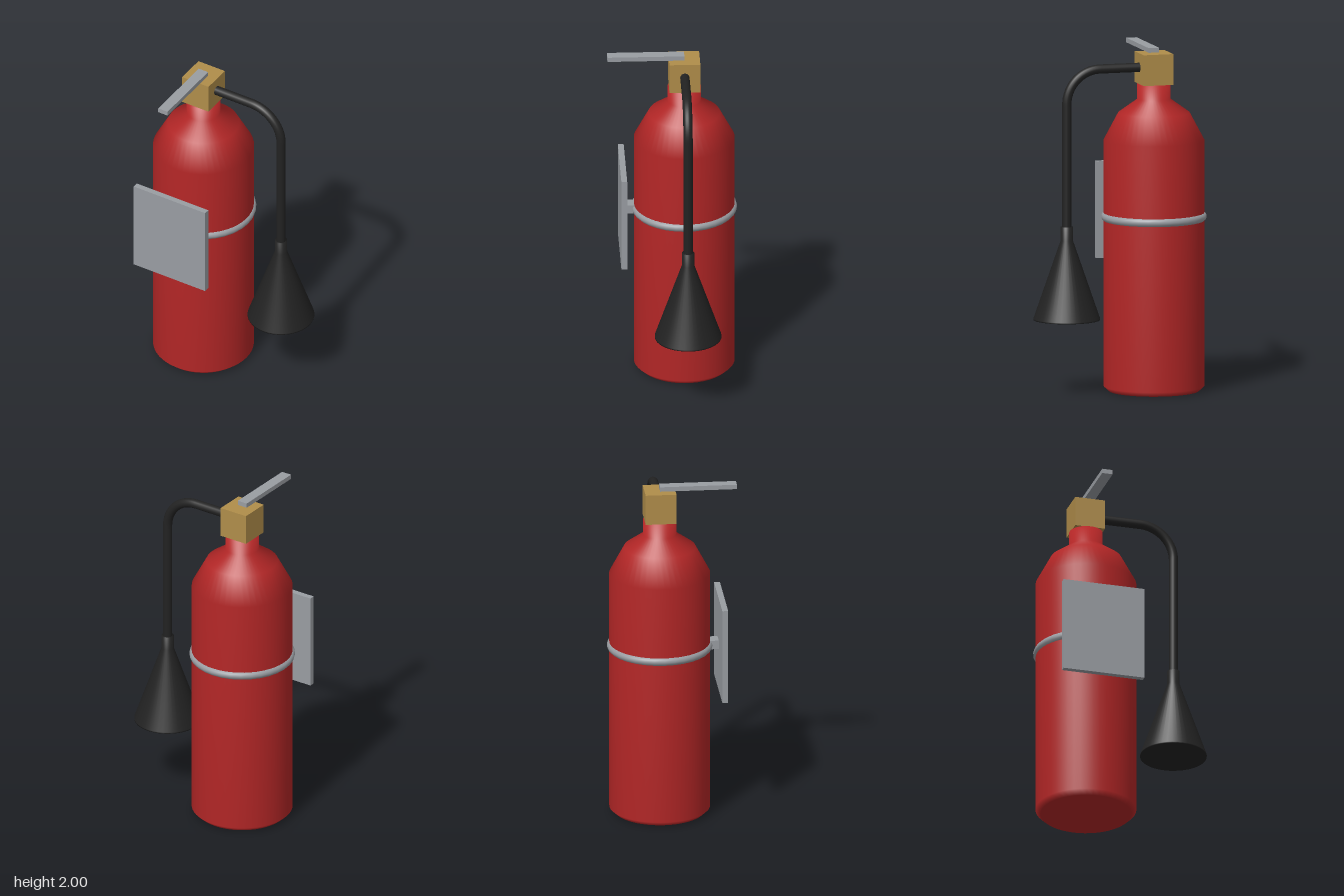
import * as THREE from 'three';

const AXIS_X = -0.207, AXIS_Z = -0.07, HORN_X = 0.32;

function material(name, color) {
  const m = new THREE.MeshStandardMaterial({ color });
  m.name = name;
  return m;
}

export function createModel() {
  const red = material('red paint', 0xb22626);
  const brass = material('brass', 0xb08d4a);
  const steel = material('grey steel', 0x999da2);
  const rubber = material('black rubber', 0x222222);
  const group = new THREE.Group();

  const add = (name, geometry, mat, x, y, z) => {
    const mesh = new THREE.Mesh(geometry, mat);
    mesh.name = name;
    mesh.position.set(x, y, z);
    group.add(mesh);
    return mesh;
  };
  // box from its lower and upper corners
  const box = (name, mat, [x0, y0, z0], [x1, y1, z1]) =>
    add(name, new THREE.BoxGeometry(x1 - x0, y1 - y0, z1 - z0), mat,
      (x0 + x1) / 2, (y0 + y1) / 2, (z0 + z1) / 2);
  const lathe = (points, segments) =>
    new THREE.LatheGeometry(points.map(([r, y]) => new THREE.Vector2(r, y)), segments);

  // pressure cylinder with shoulder and neck
  add('cylinderBody', lathe([
    [0, 0], [0.262, 0], [0.292, 0.028], [0.292, 1.464],
    [0.207, 1.624], [0.097, 1.703], [0.097, 1.793], [0, 1.793],
  ], 48), red, AXIS_X, 0, AXIS_Z);

  // valve block and squeeze lever
  box('valveBlock', brass, [-0.297, 1.793, -0.16], [-0.118, 1.973, 0.019]);
  box('lever', steel, [-0.239, 1.973, -0.07], [-0.176, 2, 0.376]);

  // strap round the body, with the plate it carries in front
  add('strap', new THREE.TorusGeometry(0.28, 0.026, 12, 32), steel, AXIS_X, 1.018, AXIS_Z)
    .rotation.x = Math.PI / 2;
  box('plateBracket', steel, [-0.245, 0.992, 0.2], [-0.169, 1.044, 0.275]);
  box('plate', steel, [-0.45, 0.735, 0.27], [0.036, 1.301, 0.304]);

  // hose: straight out, quarter bend, straight down
  const path = new THREE.CurvePath();
  const v = (x, y) => new THREE.Vector3(x, y, 0);
  const top = 1.891, bend = 0.2, k = bend * 0.448;
  path.add(new THREE.LineCurve3(v(-0.15, top), v(HORN_X - bend, top)));
  path.add(new THREE.CubicBezierCurve3(v(HORN_X - bend, top), v(HORN_X - k, top),
    v(HORN_X, top - k), v(HORN_X, top - bend)));
  path.add(new THREE.LineCurve3(v(HORN_X, top - bend), v(HORN_X, 0.95)));
  add('hose', new THREE.TubeGeometry(path, 80, 0.027, 16), rubber, 0, 0, AXIS_Z);

  // discharge horn
  add('horn', lathe([
    [0, 0.435], [0.193, 0.435], [0.193, 0.443], [0.036, 0.897], [0.036, 0.977], [0, 0.977],
  ], 40), rubber, HORN_X, 0, AXIS_Z);

  return group;
}
